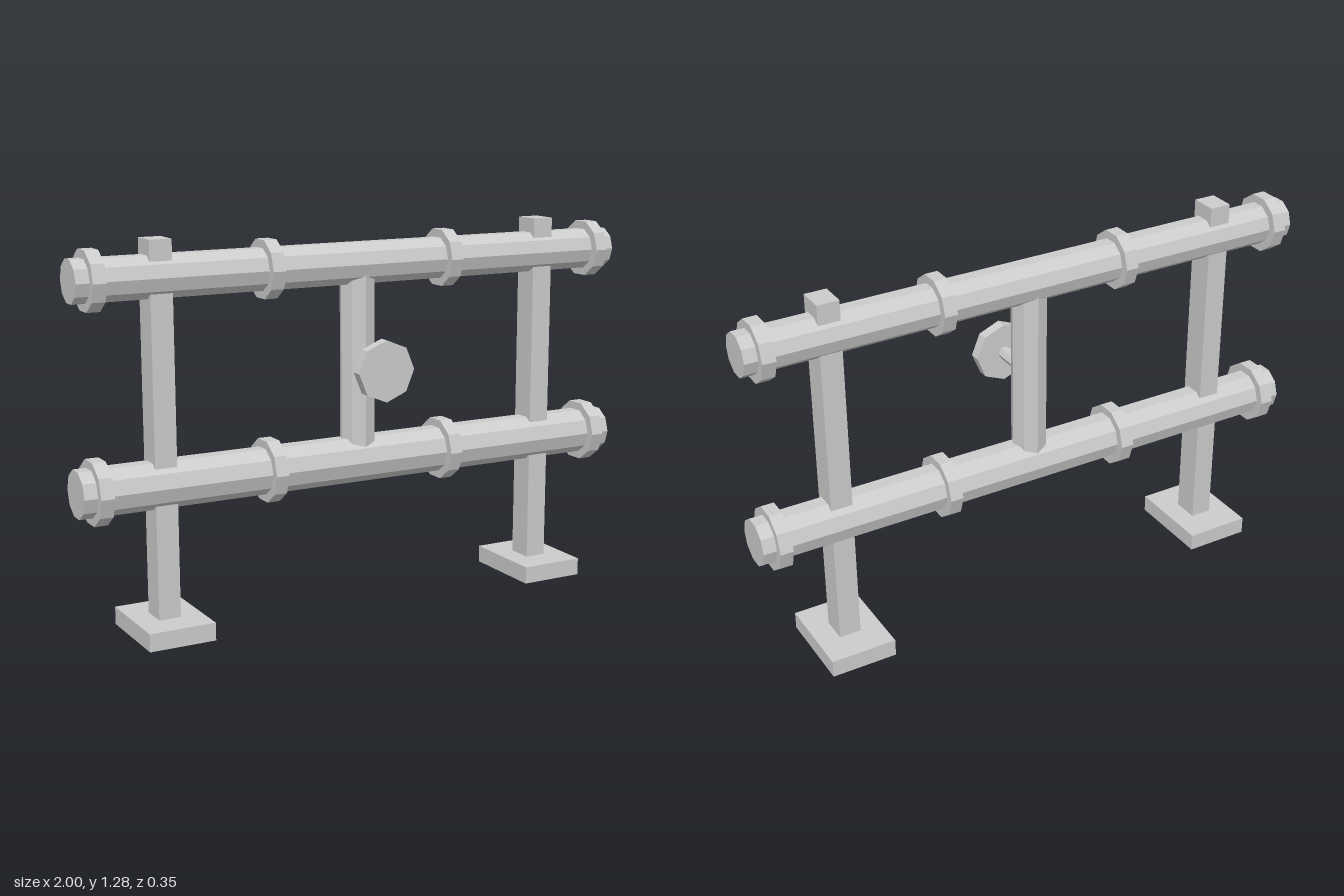
import * as THREE from 'three';

export function createModel() {
  const model = new THREE.Group();
  model.name = 'pipeRack';
  const grey = new THREE.MeshStandardMaterial({ color: 0xcccccc, flatShading: true });
  grey.name = 'light grey metal';
  const axisZ = -0.0245; // shared centre plane of posts and pipes

  const add = (name, geometry, x, y, z) => {
    const mesh = new THREE.Mesh(geometry, grey);
    mesh.name = name;
    mesh.position.set(x, y, z);
    model.add(mesh);
  };
  const prism = (radius, length, sides) =>
    new THREE.CylinderGeometry(radius, radius, length, sides);

  // Square posts on foot plates
  for (const [side, s] of [['left', 1], ['right', -1]]) {
    add(side + 'Post', new THREE.BoxGeometry(0.075, 1.235, 0.092), s * 0.715, 0.6675, axisZ);
    add(side + 'FootPlate', new THREE.BoxGeometry(0.227, 0.06, 0.305), s * 0.715, 0.03, axisZ);
  }

  // Horizontal pipes with flange rings
  const pipes = [
    { name: 'upper', y: 1.167, radius: 0.0717, flange: 0.1 },
    { name: 'lower', y: 0.5, radius: 0.08, flange: 0.108 },
  ];
  for (const { name, y, radius, flange } of pipes) {
    add(name + 'Pipe', prism(radius, 2, 10).rotateZ(Math.PI / 2), 0, y, axisZ);
    for (const x of [-0.933, -0.333, 0.333, 0.933]) {
      add(name + 'Flange', prism(flange, 0.045, 10).rotateZ(Math.PI / 2), x, y, axisZ);
    }
  }

  // Upright connecting pipe
  add('connectingPipe', prism(0.0605, 0.667, 8), 0, 0.8335, axisZ);

  // Valve stem and handwheel
  add('valveStem', prism(0.0227, 0.15, 6).rotateY(Math.PI / 6).rotateX(Math.PI / 2), 0, 0.832, 0.075);
  add('valveWheel', prism(0.103, 0.038, 8).rotateX(Math.PI / 2), 0, 0.832, 0.158);

  return model;
}
